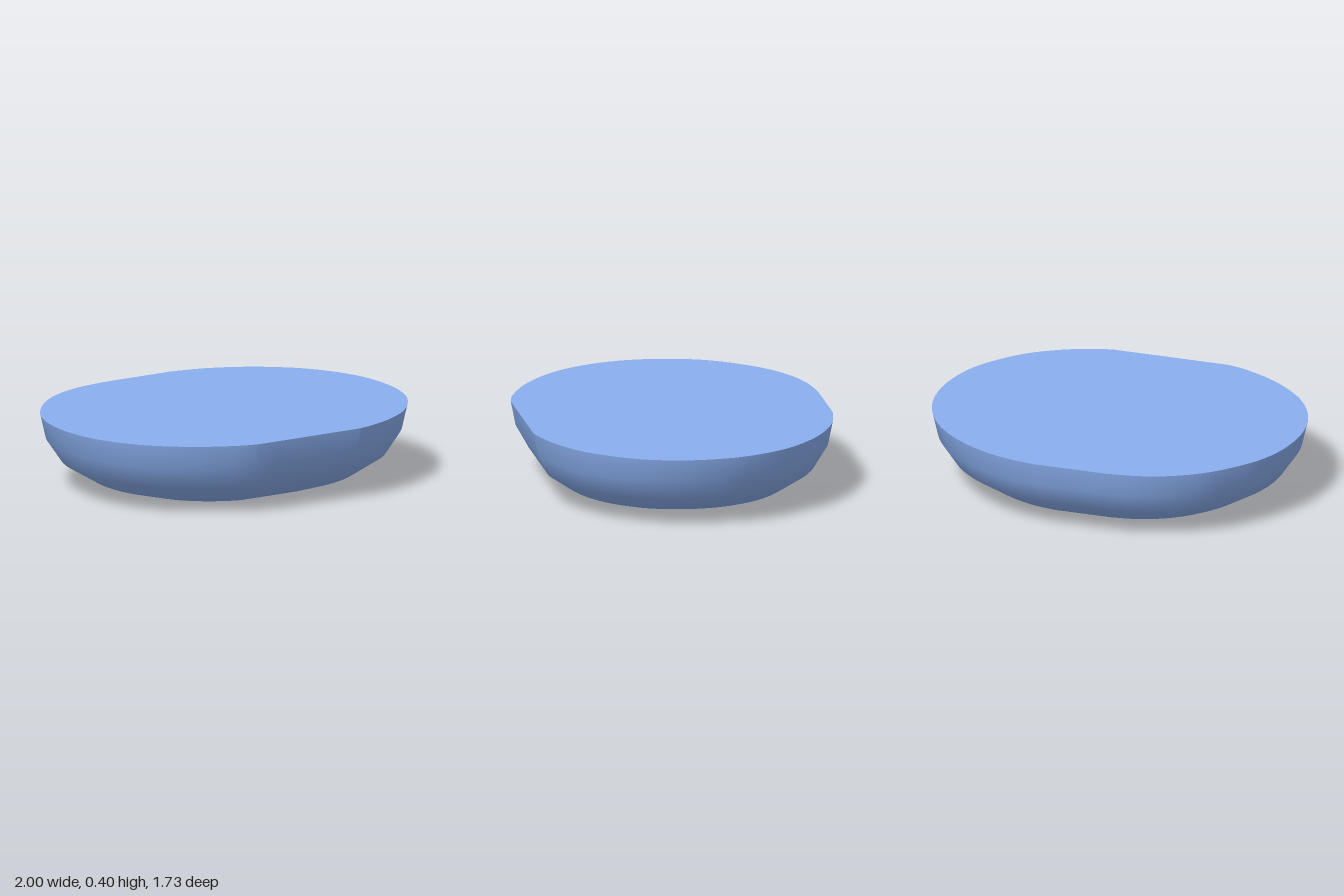
import * as THREE from 'three';

const V = (x, z) => new THREE.Vector2(x, z);

// Plan outline (x, z): two rounded ends joined by two straight flats
const rightEnd = new THREE.SplineCurve([
  V(0.40, -0.75), V(0.6, -0.652), V(0.8, -0.475), V(0.945, -0.24), V(1, 0.035),
  V(0.955, 0.31), V(0.82, 0.56), V(0.6, 0.747), V(0.4, 0.83), V(0.24, 0.859), V(0.12, 0.863),
]);
const leftEnd = new THREE.SplineCurve([
  V(-0.505, 0.708), V(-0.62, 0.642), V(-0.8, 0.475), V(-0.945, 0.24), V(-1, -0.035),
  V(-0.955, -0.31), V(-0.82, -0.56), V(-0.6, -0.747), V(-0.4, -0.837), V(-0.2, -0.867), V(-0.01, -0.85),
]);

function outlinePoints() {
  const flat = (a, b) => new THREE.LineCurve(a, b).getPoints(6).slice(0, -1);
  const r = rightEnd.getPoints(50), l = leftEnd.getPoints(50);
  return [
    ...r.slice(0, -1), ...flat(r[50], l[0]),
    ...l.slice(0, -1), ...flat(l[50], r[0]),
  ];
}

// Bowl wall: the outline scaled up ring by ring [scale, height]
const rings = [[0.53, 0], [0.73, 0.055], [0.888, 0.15], [0.97, 0.27], [1, 0.398]];

function wallGeometry(outline) {
  const n = outline.length, pos = [], idx = [];
  for (const [s, y] of rings) for (const p of outline) pos.push(p.x * s, y, p.y * s);
  for (let k = 0; k < rings.length - 1; k++) {
    for (let i = 0; i < n; i++) {
      const j = (i + 1) % n;
      const a = k * n + i, b = k * n + j, c = a + n, d = b + n;
      idx.push(a, c, b, b, c, d);
    }
  }
  const g = new THREE.BufferGeometry();
  g.setAttribute('position', new THREE.Float32BufferAttribute(pos, 3));
  g.setIndex(idx);
  g.computeVertexNormals();
  return g;
}

export function createModel() {
  const group = new THREE.Group();
  group.name = 'bowl';
  const blue = new THREE.MeshStandardMaterial({ color: 0x8aaeee, side: THREE.DoubleSide });
  const outline = outlinePoints();

  // Hollow wall, open underneath
  const wall = new THREE.Mesh(wallGeometry(outline), blue);
  wall.name = 'wall';
  group.add(wall);

  // Flat sheet closing the top
  const sheet = new THREE.ShapeGeometry(new THREE.Shape(outline.map((p) => V(p.x, -p.y))));
  sheet.rotateX(-Math.PI / 2);
  const top = new THREE.Mesh(sheet, blue);
  top.name = 'top';
  top.position.y = 0.398;
  group.add(top);

  return group;
}
